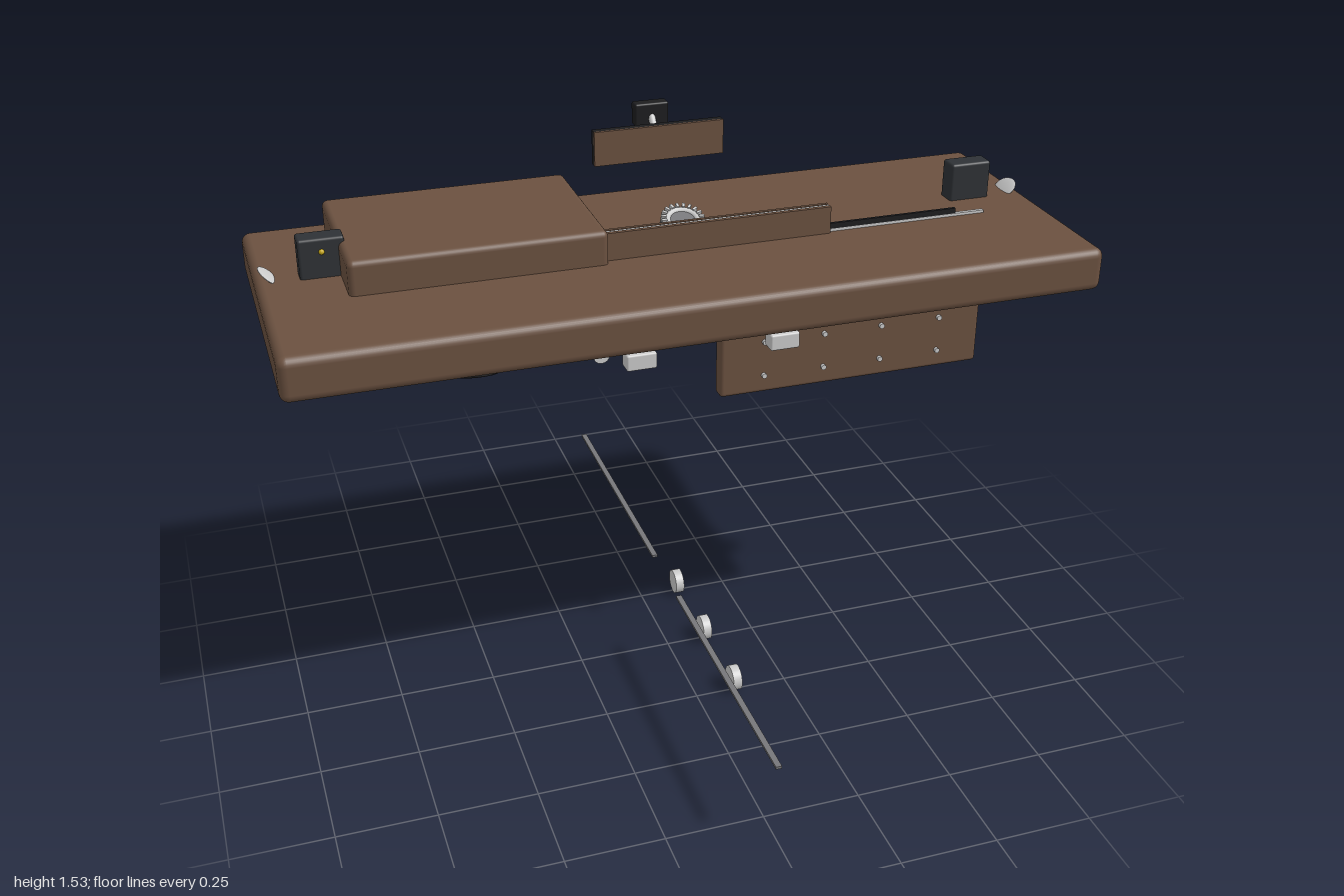
import * as THREE from 'three';
import { RoundedBoxGeometry } from 'three/addons/geometries/RoundedBoxGeometry.js';

const paint = (color, side = THREE.FrontSide) => new THREE.MeshStandardMaterial({ color, side });

export function createModel() {
  const root = new THREE.Group();
  const brown = paint(0x6b5140), black = paint(0x1d1d1f), slate = paint(0x2f3236);
  const grey = paint(0xcccccc), steel = paint(0x77777a), yellow = paint(0xc8a818);

  function add(name, geometry, material, x = 0, y = 0, z = 0, parent = root) {
    const mesh = new THREE.Mesh(geometry, material);
    mesh.name = name;
    mesh.position.set(x, y, z);
    parent.add(mesh);
    return mesh;
  }
  // Box given by its limits on each axis, optionally with rounded edges
  function slab(name, material, [x0, x1], [y0, y1], [z0, z1], r = 0, parent = root) {
    const size = [x1 - x0, y1 - y0, z1 - z0];
    const geo = r ? new RoundedBoxGeometry(...size, 3, r) : new THREE.BoxGeometry(...size);
    return add(name, geo, material, (x0 + x1) / 2, (y0 + y1) / 2, (z0 + z1) / 2, parent);
  }
  const cyl = (r0, r1, h, n = 24) => new THREE.CylinderGeometry(r0, r1, h, n);

  // Main board and raised panel
  slab('board', brown, [-1, 1], [1.105, 1.215], [-0.387, 0.387], 0.022);
  slab('raisedPanel', brown, [-0.8, -0.18], [1.18, 1.3], [-0.325, 0.103], 0.015);

  // Sliding plates standing through the board
  slab('metalBlade', grey, [-0.79, 0.83], [1.01, 1.222], [0.06, 0.07]);
  slab('blackBlade', black, [-0.15, 0.75], [1.1, 1.236], [0.061, 0.069]);
  slab('slidePlateFront', brown, [-0.24, 0.4], [0.977, 1.285], [0.069, 0.08]);
  slab('slidePlateCore', grey, [-0.24, 0.4], [0.98, 1.283], [0.059, 0.069]);
  slab('slidePlateBack', brown, [-0.24, 0.4], [0.977, 1.285], [0.05, 0.059]);

  // Hanging plate with rows of pins
  slab('hangingPlate', brown, [0.122, 0.85], [0.785, 1.085], [0.018, 0.061], 0.01);
  for (const x of [0.24, 0.405, 0.565, 0.73]) {
    for (const y of [0.835, 0.93]) {
      add('platePin', cyl(0.007, 0.007, 0.014, 12), grey, x, y, 0.063).rotation.x = Math.PI / 2;
    }
  }

  // Rail under the board, its coloured edge and its screws
  slab('rail', black, [-0.96, 0.955], [1.033, 1.108], [0.06, 0.105]);
  slab('railEdge', yellow, [-0.65, 0.955], [1.027, 1.034], [0.08, 0.106]);
  for (const x of [-0.76, -0.22, 0.21, 0.755]) {
    add('railScrewHead', cyl(0.013, 0.013, 0.016, 16), black, x, 1.025, 0.133).rotation.x = Math.PI / 2;
    add('railScrewShank', cyl(0.006, 0.006, 0.06, 12), black, x, 1.025, 0.103).rotation.x = Math.PI / 2;
  }

  // Clamps below the rail
  for (const x of [-0.11, 0.268]) {
    slab('clamp', grey, [x - 0.039, x + 0.039], [0.937, 0.98], [0.09, 0.135], 0.005);
    add('clampStem', cyl(0.008, 0.008, 0.07, 12), grey, x, 1.005, 0.11);
  }
  add('stopButton', cyl(0.021, 0.021, 0.03), grey, -0.205, 0.977, 0.09).rotation.x = Math.PI / 2;

  // Tilted turning knob with side pivots
  const knob = new THREE.Group();
  knob.name = 'knob';
  knob.position.set(-0.49, 0.985, -0.042);
  knob.rotation.x = -0.33;
  root.add(knob);
  const profile = [[0, -0.078], [0.05, -0.078], [0.054, -0.072], [0.054, -0.015], [0.064, -0.008],
    [0.064, 0.025], [0.058, 0.03], [0.058, 0.078], [0, 0.078]].map(p => new THREE.Vector2(...p));
  add('knobBody', new THREE.LatheGeometry(profile, 32), black, 0, 0, 0, knob);
  for (const s of [-1, 1]) {
    add('knobPivot', cyl(0.02, 0.02, 0.024), grey, s * 0.068, 0, 0.005, knob).rotation.z = Math.PI / 2;
  }
  add('knobLever', cyl(0.007, 0.007, 0.1, 12), black, 0, 0, -0.04, knob).rotation.x = Math.PI / 2;

  // End blocks and tilted end caps
  for (const s of [-1, 1]) {
    const x = s * 0.84;
    slab('endBlock', slate, [x - 0.055, x + 0.055], [1.205, 1.313], [-0.085, -0.03], 0.007);
    const cap = add('endCap', new THREE.SphereGeometry(0.04, 24, 12), grey, s * 0.965, 1.22, -0.07);
    cap.scale.set(0.75, 0.14, 1);
    cap.rotation.z = s * 0.7;
  }
  add('indicator', new THREE.SphereGeometry(0.007, 12, 8), yellow, -0.84, 1.28, -0.03);

  // Ribbed thumb wheel on the board
  const wheel = new THREE.Group();
  wheel.name = 'thumbWheel';
  wheel.position.set(0.065, 1.228, -0.08);
  wheel.rotation.x = 0.35;
  root.add(wheel);
  add('wheelRing', new THREE.TorusGeometry(0.04, 0.01, 10, 32), grey, 0, 0, 0, wheel).rotation.x = Math.PI / 2;
  add('wheelHub', cyl(0.034, 0.034, 0.01), steel, 0, 0, 0, wheel);
  for (let i = 0; i < 20; i++) {
    const a = i / 20 * Math.PI * 2;
    add('wheelRib', new THREE.BoxGeometry(0.014, 0.026, 0.007), grey,
      Math.cos(a) * 0.049, 0, Math.sin(a) * 0.049, wheel).rotation.y = -a;
  }

  // Floating upper plate with its bracket
  slab('upperPlateFace', brown, [-0.165, 0.165], [1.402, 1.488], [-0.072, -0.066]);
  slab('upperPlateBack', black, [-0.165, 0.165], [1.402, 1.488], [-0.09, -0.072]);
  slab('bracketBlock', black, [-0.043, 0.043], [1.47, 1.527], [-0.16, -0.126], 0.005);
  const arm = new THREE.LineCurve3(new THREE.Vector3(0, 1.445, -0.085), new THREE.Vector3(0, 1.497, -0.135));
  add('bracketArm', new THREE.TubeGeometry(arm, 1, 0.009, 12), grey);
  add('bracketBall', new THREE.SphereGeometry(0.014, 16, 10), grey, 0, 1.445, -0.094);

  // Long thin rods, front and back
  for (const s of [-1, 1]) {
    add('rod', new THREE.BoxGeometry(0.015, 0.007, 0.74), steel, -0.004, 0.227, s * 0.475);
  }

  // Three loose rollers
  for (const z of [-0.245, 0, 0.245]) {
    add('roller', cyl(0.034, 0.034, 0.024, 32), grey, 0.107, 0.034, z).rotation.z = Math.PI / 2;
  }
  return root;
}
